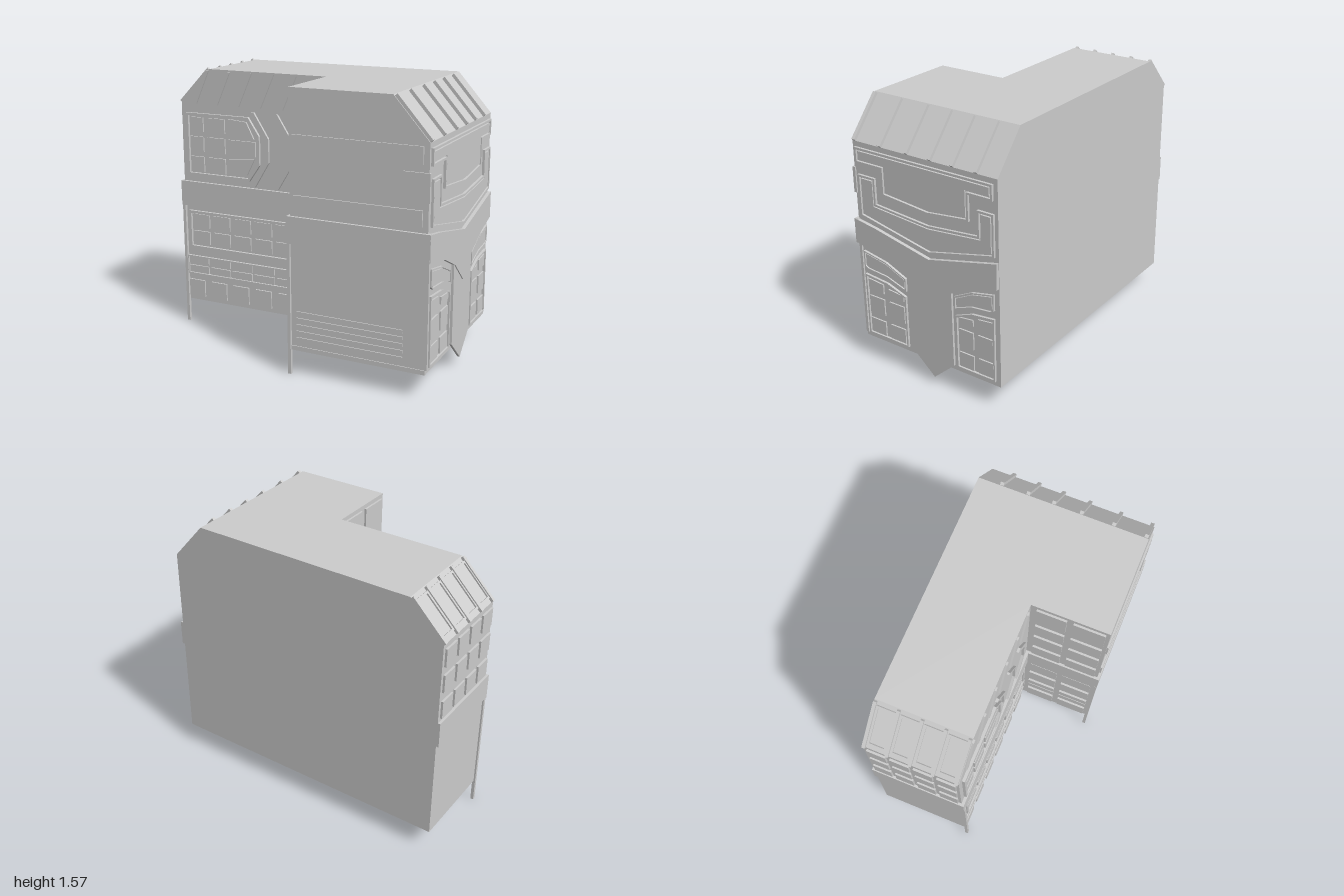
import * as THREE from 'three';

const mat = new THREE.MeshStandardMaterial({ color: 0xcccccc, flatShading: true });

function add(parent, name, geo, x = 0, y = 0, z = 0) {
  const m = new THREE.Mesh(geo, mat);
  m.name = name;
  m.position.set(x, y, z);
  parent.add(m);
  return m;
}

// Box given by its extents on a facade, standing out by d
const block = (g, name, x0, x1, y0, y1, d = 0.012) =>
  add(g, name, new THREE.BoxGeometry(x1 - x0, y1 - y0, d + 0.01), (x0 + x1) / 2, (y0 + y1) / 2, (d - 0.01) / 2);

const ccw = (pts) => {
  const v = pts.map(([x, y]) => new THREE.Vector2(x, y));
  return THREE.ShapeUtils.area(v) < 0 ? v.reverse() : v;
};

// Polygon moved inwards by t with mitred corners
function inset(v, t) {
  return v.map((p, i) => {
    const a = v[(i + v.length - 1) % v.length], b = v[(i + 1) % v.length];
    const d1 = p.clone().sub(a).normalize(), d2 = b.clone().sub(p).normalize();
    const n = new THREE.Vector2(-d1.y - d2.y, d1.x + d2.x);
    return p.clone().addScaledVector(n, t / (1 + d1.dot(d2)));
  });
}

// Raised polygon panel, or a frame when rim > 0
function panel(g, name, pts, d = 0.012, rim = 0) {
  const v = ccw(pts), shape = new THREE.Shape(v);
  if (rim) shape.holes.push(new THREE.Path(inset(v, rim)));
  return add(g, name, new THREE.ExtrudeGeometry(shape, { depth: d, bevelEnabled: false }));
}

// Frame with a lower raised panel inside it
function framedPanel(g, name, pts, d = 0.014, rim = 0.012) {
  panel(g, name + 'Frame', pts, d, rim);
  panel(g, name, inset(ccw(pts), rim * 1.7).map((p) => [p.x, p.y]), d * 0.8);
}

function grid(g, name, cols, rows, d) {
  for (const [x0, x1] of cols) for (const [y0, y1] of rows) block(g, name, x0, x1, y0, y1, d);
}

const rect = (x0, x1, y0, y1) => [[x0, y0], [x1, y0], [x1, y1], [x0, y1]];
const upperRows = [[0.91, 1.015], [1.07, 1.175], [1.225, 1.33]];

export function createModel() {
  const model = new THREE.Group();
  model.name = 'building';
  const root = new THREE.Group();
  root.name = 'turnedBuilding';
  root.rotation.y = 0.396;
  model.add(root);

  // Facade group: x along the wall, y up, z outwards
  const facade = (name, x, y, z, ry) => {
    const g = new THREE.Group();
    g.name = name;
    g.position.set(x, y, z);
    g.rotation.y = ry;
    root.add(g);
    return g;
  };

  // Two wings with sloped roof ends
  const wing = (name, pts, z0, z1) =>
    add(root, name, new THREE.ExtrudeGeometry(new THREE.Shape(ccw(pts)), { depth: z1 - z0, bevelEnabled: false }), 0, 0, z0);
  wing('leftWing', [[-0.935, 0.14], [0.015, 0.14], [0.015, 1.565], [-0.735, 1.565], [-0.935, 1.36]], -0.32, 0.205);
  wing('rightWing', [[0.015, 0.14], [0.785, 0.14], [0.785, 1.345], [0.59, 1.565], [0.015, 1.565]], -0.32, 0.635);

  // Corner posts
  for (const [x, z] of [[-0.935, 0.215], [0.008, 0.64]])
    add(root, 'cornerPost', new THREE.BoxGeometry(0.018, 0.76, 0.018), x, 0.38, z);

  // Front of the left wing
  const lf = facade('leftWingFront', 0, 0, 0.205, 0);
  const U = (x) => (x - 0.081) / 0.9225;
  block(lf, 'band', -0.948, 0.015, 0.74, 0.89, 0.017);
  const six = (x0, step, w) => Array.from({ length: 6 }, (_, i) => [U(x0 + i * step), U(x0 + i * step + w)]);
  grid(lf, 'groundWindow', six(-0.77, 0.143, 0.1), [[0.165, 0.27]], 0.01);
  panel(lf, 'stripFrame', rect(U(-0.775), U(0.075), 0.308, 0.425), 0.014, 0.008);
  grid(lf, 'stripPane', six(-0.765, 0.14, 0.125), [[0.318, 0.362], [0.372, 0.416]], 0.009);
  panel(lf, 'windowFrame', rect(U(-0.755), U(0.055), 0.475, 0.71), 0.016, 0.016);
  grid(lf, 'window', six(-0.73, 0.131, 0.105), [[0.505, 0.585], [0.608, 0.69]], 0.01);
  panel(lf, 'bayFrame', [[-0.75, 0.93], [-0.36, 0.93], [-0.295, 1.03], [-0.295, 1.2], [-0.36, 1.305], [-0.75, 1.305]]
    .map(([x, y]) => [U(x), y]), 0.016, 0.016);
  grid(lf, 'bayPane', [[U(-0.728), U(-0.645)], [U(-0.622), U(-0.51)]], [[0.955, 1.045], [1.075, 1.165], [1.195, 1.28]], 0.01);
  for (const s of [-1, 1])
    panel(lf, 'bayEndPane', [[-0.488, 0.075], [-0.33, 0.06], [-0.375, 0.155], [-0.488, 0.165]]
      .map(([x, y]) => [U(x), 1.12 + s * y]), 0.01);
  block(lf, 'bayEndPane', U(-0.488), U(-0.322), 1.077, 1.163, 0.01);

  // Chevron mouldings beside the bay
  for (const [x, t] of [[-0.24, 0.02], [-0.1, 0.012], [0.035, 0.025]]) {
    const side = [[-0.085, 0.9], [0, 1.05], [0, 1.19], [-0.085, 1.335]];
    const back = side.map(([a, y]) => [a - t, y]).reverse();
    panel(lf, 'chevron', [...side, ...back].map(([a, y]) => [U(x + a), y]), 0.014);
  }
  // Slanted ribs at the eave
  for (let i = 0; i < 6; i++) {
    const x = -0.7 + i * 0.132;
    panel(lf, 'eaveRib', [[x, 1.36], [x + 0.018, 1.36], [x + 0.1, 1.555], [x + 0.082, 1.555]].map(([a, y]) => [U(a), y]), 0.01);
  }

  // Wall of the right wing facing the courtyard
  const iw = facade('courtyardWall', 0.015, 0, 0, -Math.PI / 2);
  block(iw, 'band', 0.205, 0.65, 0.74, 0.89, 0.015);
  grid(iw, 'courtyardWindow', [[0.24, 0.405], [0.44, 0.615]],
    [[0.165, 0.27], [0.31, 0.36], [0.37, 0.42], [0.47, 0.57], [0.62, 0.725], ...upperRows, [1.385, 1.54]], 0.012);

  // Left end: raised windows, and roof slope with ribs and panels
  const le = facade('leftEnd', -0.935, 0, 0, -Math.PI / 2);
  block(le, 'band', -0.32, 0.222, 0.74, 0.89, 0.015);
  const bays = [0, 1, 2, 3].map((i) => [-0.3 + i * 0.128, -0.195 + i * 0.128]);
  grid(le, 'endWindow', bays, upperRows, 0.012);
  const slope = (parent, name, y, run, rise) => {
    const g = new THREE.Group();
    g.name = name;
    g.position.y = y;
    g.rotation.x = -Math.atan2(run, rise);
    parent.add(g);
    return g;
  };
  const ls = slope(le, 'leftRoofSlope', 1.36, 0.2, 0.205);
  for (let i = 0; i < 5; i++) block(ls, 'roofRib', -0.32 + i * 0.126, -0.302 + i * 0.126, 0, 0.28, 0.016);
  for (const [a, b] of bays) panel(ls, 'roofPanelFrame', rect(a, b, 0.025, 0.26), 0.009, 0.012);

  // Front of the right wing
  const rf = facade('rightWingFront', 0, 0, 0.635, 0);
  block(rf, 'band', 0, 0.802, 0.74, 0.89, 0.015);
  for (const [y0, y1] of [[0.92, 1.005], [1.235, 1.325]]) block(rf, 'raisedStripe', 0.035, 0.755, y0, y1, 0.009);
  block(rf, 'cornerPlate', 0.65, 0.793, 1.045, 1.195, 0.009);
  block(rf, 'baseboard', 0.015, 0.785, 0.14, 0.165, 0.005);
  for (let i = 0; i < 5; i++) block(rf, 'louvre', 0.05, 0.66, 0.2 + i * 0.037, 0.217 + i * 0.037, 0.006);

  // Right end facade
  const re = facade('rightEnd', 0.785, 0, 0, Math.PI / 2);
  const R = (pts) => pts.map(([z, y]) => [-(z + 0.309) / 0.9225, y]);
  framedPanel(re, 'upperCrest', R([[0.26, 1.315], [-0.58, 1.315], [-0.58, 1.225], [-0.44, 1.225], [-0.44, 1.075],
    [-0.19, 1.045], [0.095, 1.075], [0.095, 1.225], [0.26, 1.225]]));
  framedPanel(re, 'lowerCrest', R([[0.25, 1.16], [0.14, 1.16], [0.14, 1.01], [-0.19, 0.98], [-0.49, 1.01], [-0.49, 1.155],
    [-0.585, 1.155], [-0.585, 0.915], [-0.19, 0.815], [0.25, 0.915]]));
  panel(re, 'pointedBand', R([[0.29, 0.89], [0.15, 0.865], [-0.19, 0.785], [-0.602, 0.89], [-0.602, 0.74], [-0.47, 0.7],
    [-0.32, 0.625], [-0.19, 0.5], [-0.06, 0.625], [0.09, 0.7], [0.29, 0.745]]), 0.02);
  panel(re, 'centrePillar', R([[-0.06, 0.64], [-0.06, 0.17], [-0.19, 0.045], [-0.32, 0.17], [-0.32, 0.64]]), 0.014);
  block(re, 'cornerTrim', -0.637, -0.62, 0.165, 0.74, 0.01);

  // Arched window groups either side of the pillar
  for (const k of [1, -0.88]) {
    const M = (pts) => R(pts.map(([a, y]) => [-0.19 + k * a, y]));
    framedPanel(re, 'archPanel', M([[0.44, 0.7], [0.29, 0.67], [0.165, 0.61], [0.165, 0.53], [0.29, 0.575], [0.42, 0.588], [0.44, 0.605]]), 0.014, 0.008);
    panel(re, 'archFrame', M([[0.44, 0.555], [0.29, 0.54], [0.17, 0.495], [0.17, 0.17], [0.44, 0.17]]), 0.014, 0.01);
    for (const [a, b, drop] of [[0.325, 0.425, 0.008], [0.19, 0.29, 0.035]]) {
      for (const [y0, y1] of [[0.185, 0.275], [0.315, 0.42]]) panel(re, 'archPane', M(rect(a, b, y0, y1)), 0.009);
      panel(re, 'archPane', M([[a, 0.455], [b, 0.46], [b, 0.535 - drop], [a, 0.525 - drop]]), 0.009);
    }
  }

  // Right roof slope with ribs
  const rs = slope(re, 'rightRoofSlope', 1.345, 0.195, 0.22);
  for (const v of [-0.19, -0.04, 0.105, 0.26, 0.44, 0.62]) block(rs, 'roofRib', -v - 0.01, -v + 0.01, 0, 0.285, 0.018);

  return model;
}
